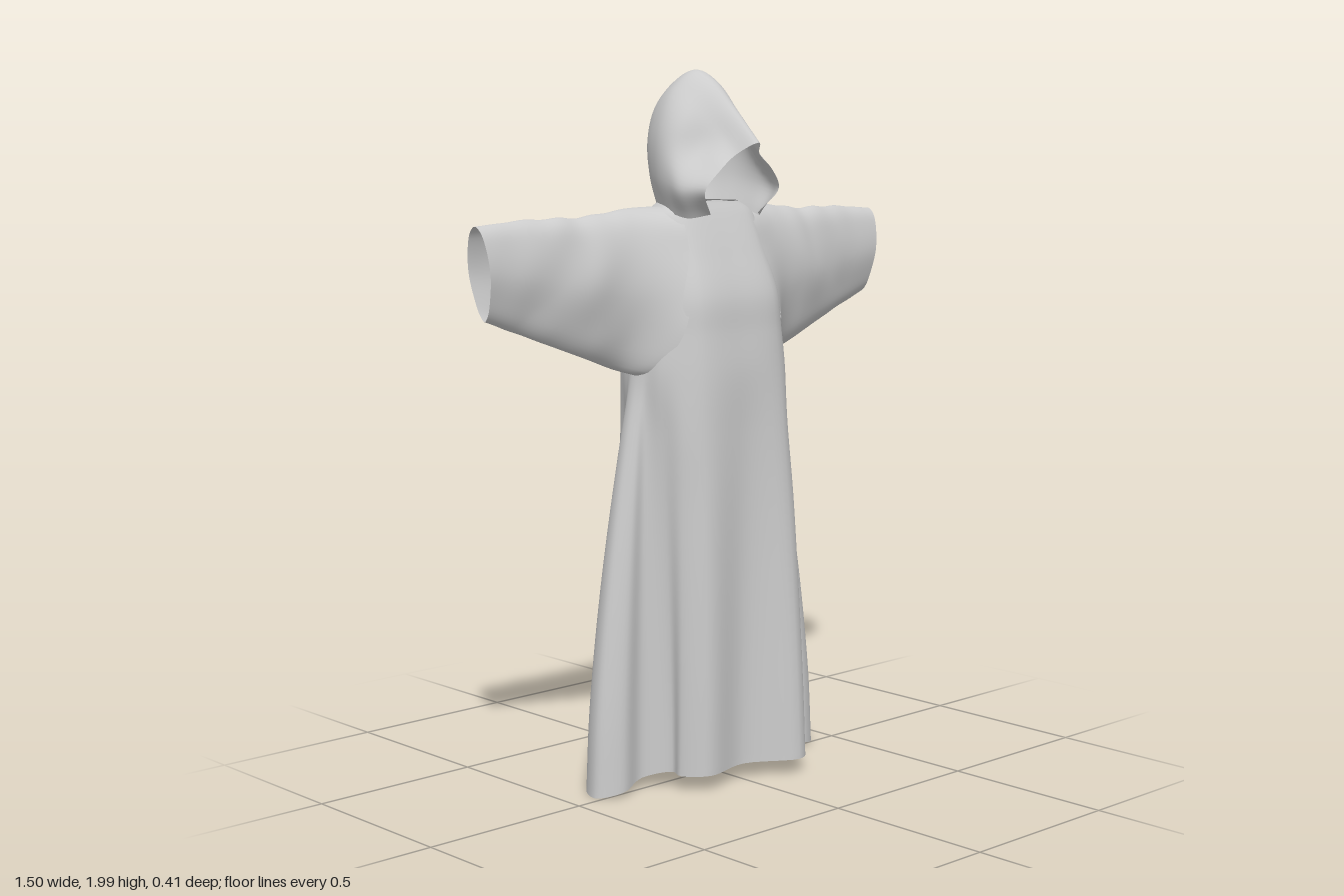
import * as THREE from 'three';

const V = (x, y, z) => new THREE.Vector3(x, y, z);
const cloth = new THREE.MeshStandardMaterial({ color: 0xcccccc, roughness: 0.9, side: THREE.DoubleSide });

// Smooth cloth surface through rows of control points; cut(p) leaves gaps, fold(p) adds creases
function drape(name, rows, closed, nu, nv, { cut = () => false, fold = () => {} } = {}) {
  const columns = rows[0].map((_, i) => new THREE.CatmullRomCurve3(rows.map(r => r[i])));
  const points = [], index = [];
  const w = closed ? nu : nu + 1;
  for (let j = 0; j <= nv; j++) {
    const ring = new THREE.CatmullRomCurve3(columns.map(c => c.getPoint(j / nv)), closed);
    for (let i = 0; i < w; i++) {
      const p = ring.getPoint(i / nu);
      fold(p);
      points.push(p);
    }
  }
  for (let j = 0; j < nv; j++) {
    for (let i = 0; i < nu; i++) {
      const a = j * w + i, b = j * w + (i + 1) % w, c = a + w, d = b + w;
      if (cut(points[a])) continue;
      index.push(a, b, d, a, d, c);
    }
  }
  const geometry = new THREE.BufferGeometry().setFromPoints(points);
  geometry.setIndex(index);
  geometry.computeVertexNormals();
  const mesh = new THREE.Mesh(geometry, cloth);
  mesh.name = name;
  return mesh;
}

// Half outlines (x, z) of the gown, front centre to back centre
const HEM = [[0, .13], [.15, .18], [.208, .13], [.2, .05], [.27, 0], [.36, .025], [.424, -.02],
  [.39, -.095], [.29, -.08], [.205, -.1], [.2, -.18], [.1, -.205], [0, -.195]];
const WAIST = [[0, .135], [.14, .128], [.2, .09], [.235, .04], [.245, 0], [.25, -.02], [.252, -.04],
  [.25, -.06], [.24, -.085], [.225, -.12], [.19, -.17], [.1, -.2], [0, -.203]];
const CHEST = [[0, .115], [.13, .11], [.175, .085], [.2, .05], [.215, .01], [.222, -.02], [.225, -.04],
  [.222, -.06], [.215, -.09], [.2, -.13], [.17, -.17], [.09, -.19], [0, -.195]];
const NECK = [[0, .03], [.11, .025], [.145, .01], [.162, -.005], [.172, -.02], [.176, -.03], [.178, -.04],
  [.175, -.06], [.165, -.09], [.15, -.115], [.125, -.137], [.07, -.155], [0, -.16]];

const mix = (a, b, t) => a.map(([x, z], i) => [x + (b[i][0] - x) * t, z + (b[i][1] - z) * t]);

function gownRow(half, y, hemness = 0) {
  const at = (x, z) => V(x, y - .2 * hemness * Math.max(0, Math.abs(x) - .2),
    z + (z > .1 ? .18 * x * hemness : 0));
  return [
    ...half.map(([x, z]) => at(x, z)),
    ...half.slice(1, -1).reverse().map(([x, z]) => at(-x, z)),
  ];
}

function makeGown() {
  const rows = [];
  for (const t of [0, .17, .34, .51, .68, .85, 1]) {
    rows.push(gownRow(mix(HEM, WAIST, Math.pow(t, 1.55)), .05 + 1.12 * t, 1 - t));
  }
  rows.push(gownRow(mix(WAIST, CHEST, .5), 1.28), gownRow(CHEST, 1.38),
    gownRow(mix(CHEST, NECK, .5), 1.5), gownRow(NECK, 1.6),
    gownRow(NECK.map(([x, z]) => [x * .72, -.06 + (z + .06) * .8]), 1.635));
  // armholes
  const cut = p => Math.abs(p.x) > .14 && p.y > 1.23 && p.y < 1.57 && p.z > -.125 && p.z < .01;
  return drape('gown', rows, true, 144, 96, { cut });
}

// Sleeve root hugging the armhole: shoulder, down the front to the armpit, up the back
const ARMHOLE = [
  [.12, 1.625, -.06], [.13, 1.59, .02], [.14, 1.5, .06], [.16, 1.39, .09], [.19, 1.28, .088], [.23, 1.195, .035],
  [.25, 1.165, -.04], [.228, 1.195, -.105], [.175, 1.28, -.174], [.135, 1.39, -.179], [.12, 1.5, -.164], [.115, 1.59, -.138],
];

// Sleeve stations: top x, top y, bottom x, bottom y, front z, back z
const SLEEVE = [
  [.25, 1.622, .3, 1.182, .017, -.165],
  [.4, 1.604, .4, 1.22, -.01, -.148],
  [.58, 1.602, .56, 1.28, -.04, -.148],
  [.75, 1.59, .722, 1.34, -.055, -.148],
];

function makeSleeve() {
  const rows = SLEEVE.map(([tx, ty, bx, by, zf, zb]) => ARMHOLE.map((_, i) => {
    const a = i / ARMHOLE.length * Math.PI * 2, k = (1 + Math.cos(a)) / 2;
    const lens = Math.sin(a) * Math.min(1, .7 + .6 * k);
    return V(bx + (tx - bx) * k, by + (ty - by) * k, (zf + zb) / 2 + (zf - zb) / 2 * lens);
  }));
  // soft diagonal creases fading toward shoulder, cuff and underside
  const fold = p => {
    const fade = THREE.MathUtils.clamp(Math.min((p.x - .25) * 6, (.72 - p.x) * 4, (p.y - 1.25) * 5), 0, 1);
    p.z += .004 * fade * Math.sin(26 * p.x + 20 * p.y);
    p.y += .003 * fade * Math.sin(55 * p.x);
  };
  return drape('sleeve', [ARMHOLE.map(p => V(...p)), ...rows], true, 60, 48, { fold });
}

// Half arches of the hood, crown to lower edge, from the back seam to the pointed brim
const HOOD = [
  [[0, 1.87, -.187], [0, 1.82, -.193], [0, 1.76, -.19], [0, 1.69, -.175], [0, 1.61, -.15]],
  [[0, 1.935, -.165], [.06, 1.89, -.168], [.088, 1.8, -.168], [.092, 1.7, -.152], [.08, 1.61, -.13]],
  [[0, 1.998, -.07], [.08, 1.94, -.08], [.133, 1.83, -.08], [.145, 1.71, -.075], [.125, 1.61, -.07]],
  [[0, 1.972, 0], [.078, 1.91, -.005], [.142, 1.81, 0], [.168, 1.69, .005], [.145, 1.605, 0]],
  [[0, 1.892, .09], [.058, 1.845, .065], [.12, 1.765, .06], [.172, 1.675, .06], [.135, 1.595, .05]],
  [[0, 1.8, .185], [.045, 1.768, .143], [.1, 1.725, .137], [.14, 1.67, .122], [.09, 1.605, .09]],
];

function makeHood() {
  const rows = HOOD.map(half => [
    ...half.slice(1).reverse().map(([x, y, z]) => V(x, y, z)),
    ...half.map(([x, y, z]) => V(-x, y, z)),
  ]);
  // dents either side of the face
  const fold = p => {
    const d = Math.exp(-((p.y - 1.8) ** 2 + (p.z - .06) ** 2) / .003);
    p.x *= 1 - .18 * d;
  };
  return drape('hood', rows, false, 56, 40, { fold });
}

export function createModel() {
  const model = new THREE.Group();
  model.name = 'hoodedRobe';
  const left = makeSleeve(), right = makeSleeve();
  left.name = 'leftSleeve';
  right.name = 'rightSleeve';
  right.scale.x = -1;
  model.add(makeGown(), left, right, makeHood());
  return model;
}
